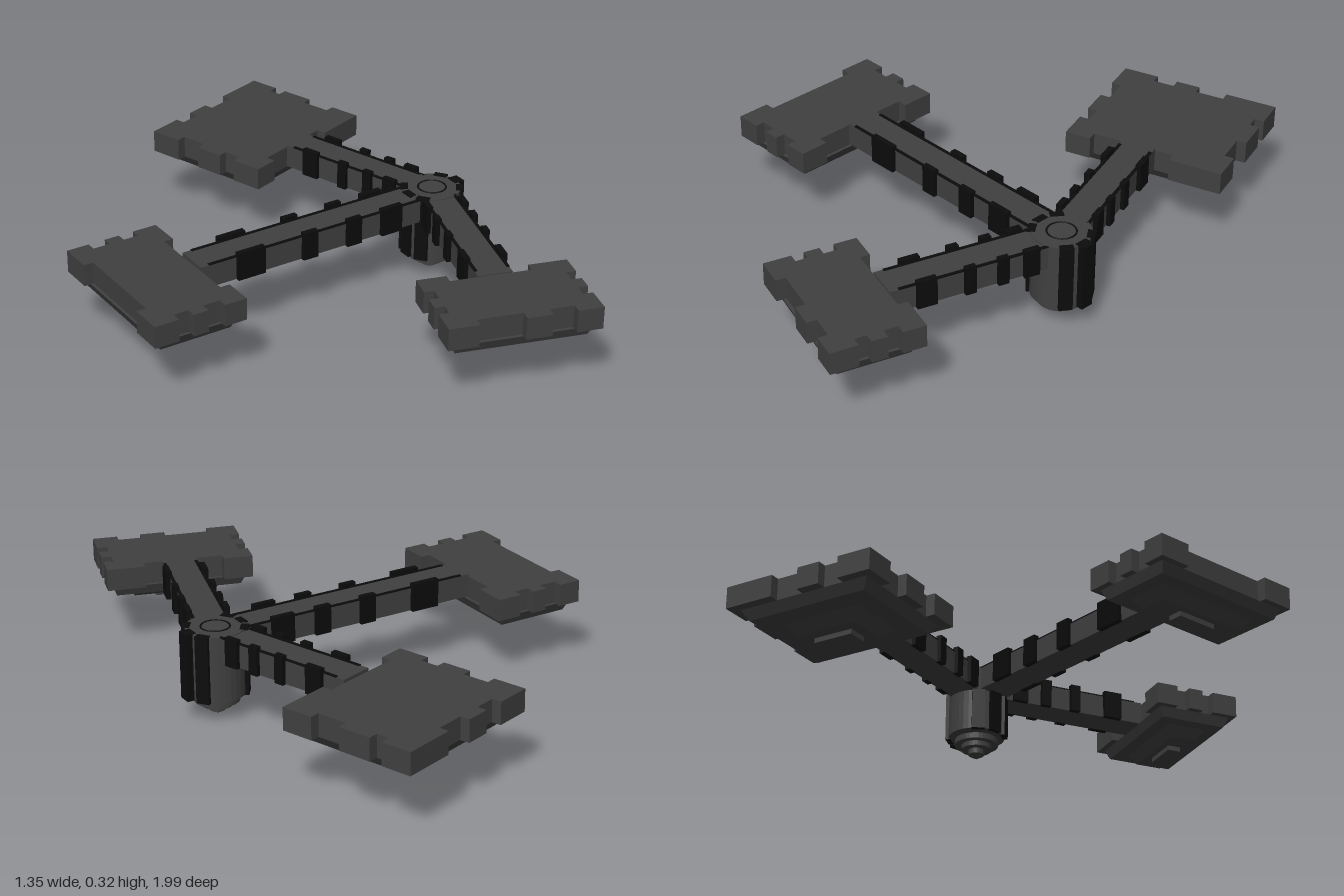
import * as THREE from 'three';

const grey = new THREE.MeshStandardMaterial({ color: 0x404040 });
grey.name = 'dark grey hull';
const black = new THREE.MeshStandardMaterial({ color: 0x0c0c0c });
black.name = 'black trim';

function add(parent, name, geometry, material, x = 0, y = 0, z = 0) {
  const mesh = new THREE.Mesh(geometry, material);
  mesh.name = name;
  mesh.position.set(x, y, z);
  parent.add(mesh);
  return mesh;
}

function box(parent, name, material, w, h, d, x, y, z) {
  return add(parent, name, new THREE.BoxGeometry(w, h, d), material, x, y, z);
}

// Rectangular plate with notches cut into its four sides.
// notches: [inner, right, outer, left], each a list of [start, end] fractions
function notchedPlate(w, d, h, notches) {
  const corners = [[-w / 2, -d / 2], [w / 2, -d / 2], [w / 2, d / 2], [-w / 2, d / 2]];
  const depth = 0.033;
  const points = [];
  corners.forEach(([ax, az], i) => {
    const [bx, bz] = corners[(i + 1) % 4];
    const length = Math.hypot(bx - ax, bz - az);
    const nx = -(bz - az) / length, nz = (bx - ax) / length;
    const put = (t, inset) => points.push(new THREE.Vector2(
      ax + (bx - ax) * t + nx * inset, az + (bz - az) * t + nz * inset));
    put(0, 0);
    for (const [s, e] of notches[i]) {
      put(s, 0); put(s, depth); put(e, depth); put(e, 0);
    }
  });
  const geometry = new THREE.ExtrudeGeometry(new THREE.Shape(points), { depth: h, bevelEnabled: false });
  return geometry.rotateX(Math.PI / 2);
}

// Box whose lower face is smaller than its upper face
function taperedBox(wTop, dTop, wLow, dLow, h) {
  const geometry = new THREE.BoxGeometry(wTop, h, dTop);
  const p = geometry.attributes.position;
  for (let i = 0; i < p.count; i++) {
    if (p.getY(i) < 0) {
      p.setX(i, Math.sign(p.getX(i)) * wLow / 2);
      p.setZ(i, Math.sign(p.getZ(i)) * dLow / 2);
    }
  }
  geometry.computeVertexNormals();
  return geometry;
}

// Landing platform with stepped underside
function platform({ w, d, top, notches }) {
  const group = new THREE.Group();
  group.name = 'platform';
  add(group, 'deck', notchedPlate(w, d, 0.076, notches), grey, 0, top, 0);
  const layer = (name, insetTop, insetLow, yTop, yLow) => {
    const a = insetTop * d, b = insetLow * d;
    add(group, name, taperedBox(w - a, d - a, w - b, d - b, yTop - yLow), grey,
      0, (yTop + yLow) / 2, 0);
  };
  layer('upperKeel', 0.14, 0.23, top - 0.076, top - 0.11);
  layer('lowerKeel', 0.54, 0.7, top - 0.11, top - 0.146);
  box(group, 'keelTip', grey, w * 0.26, 0.017, d * 0.15, 0, top - 0.1545, 0);
  return group;
}

// Arm reaching out along local +z with trim blocks on both sides
function arm(length) {
  const group = new THREE.Group();
  group.name = 'arm';
  box(group, 'beam', grey, 0.116, 0.08, length, 0, 0.26, length / 2);
  const scale = length / 0.93;
  const blocks = [[0.17, 0.25], [0.33, 0.385], [0.5, 0.555], [0.7, 0.8]];
  for (const side of [-1, 1]) {
    box(group, 'edgeStrip', black, 0.01, 0.004, length - 0.1, side * 0.054, 0.301, length / 2 + 0.02);
    for (const [s, e] of blocks) {
      box(group, 'trimBlock', black, 0.02, 0.097, (e - s) * scale,
        side * 0.062, 0.2675, (s + e) / 2 * scale);
    }
  }
  return group;
}

// Central column with stepped, pointed foot
function hub() {
  const group = new THREE.Group();
  group.name = 'hub';
  const profile = [[0, 0], [0.027, 0.015], [0.027, 0.033], [0.052, 0.033], [0.052, 0.05],
    [0.075, 0.05], [0.075, 0.07], [0.097, 0.078], [0.097, 0.303], [0, 0.303]];
  const body = new THREE.LatheGeometry(profile.map(([x, y]) => new THREE.Vector2(x, y)), 32).toNonIndexed();
  body.computeVertexNormals();
  add(group, 'column', body, grey);
  add(group, 'capRing', new THREE.TorusGeometry(0.047, 0.003, 6, 32).rotateX(Math.PI / 2), black, 0, 0.303, 0);
  for (const degrees of [0, 36, -36, 144, 180, -144]) {
    const a = THREE.MathUtils.degToRad(degrees);
    const outer = degrees === 0 ? 0.118 : 0.106;
    const rib = box(group, 'rib', black, outer - 0.08, 0.229, 0.045,
      Math.cos(a) * (outer + 0.08) / 2, 0.1895, -Math.sin(a) * (outer + 0.08) / 2);
    rib.rotation.y = a;
  }
  return group;
}

export function createModel() {
  const model = new THREE.Group();
  model.name = 'threeArmedStation';
  const centre = new THREE.Group();
  centre.name = 'station';
  centre.position.set(0.555, 0, 0.073);
  model.add(centre);
  centre.add(hub());

  const wings = [
    { name: 'rightWing', angle: -90, reach: 1.067, shift: 0, w: 0.565, d: 0.325, top: 0.29,
      notches: [[[0.2, 0.82]], [[0.24, 0.42], [0.58, 0.74]], [[0.2, 0.8]], [[0.24, 0.42], [0.58, 0.74]]] },
    { name: 'backWing', angle: -161.5, reach: 0.787, shift: -0.026, w: 0.554, d: 0.477, top: 0.291,
      notches: [[[0.33, 0.84]], [[0.23, 0.36], [0.57, 0.76]], [[0.22, 0.35], [0.5, 0.68]], [[0.22, 0.31], [0.55, 0.77]]] },
    { name: 'frontWing', angle: -17, reach: 0.736, shift: 0, w: 0.502, d: 0.31, top: 0.298,
      notches: [[[0.2, 0.74]], [[0.25, 0.4], [0.57, 0.7]], [[0.17, 0.33], [0.5, 0.8]], [[0.3, 0.43], [0.6, 0.75]]] },
  ];
  for (const wing of wings) {
    const group = new THREE.Group();
    group.name = wing.name;
    group.rotation.y = THREE.MathUtils.degToRad(wing.angle);
    group.add(arm(wing.reach - wing.d / 2 + 0.03));
    const deck = platform(wing);
    deck.position.set(wing.shift, 0, wing.reach);
    group.add(deck);
    centre.add(group);
  }
  return model;
}
